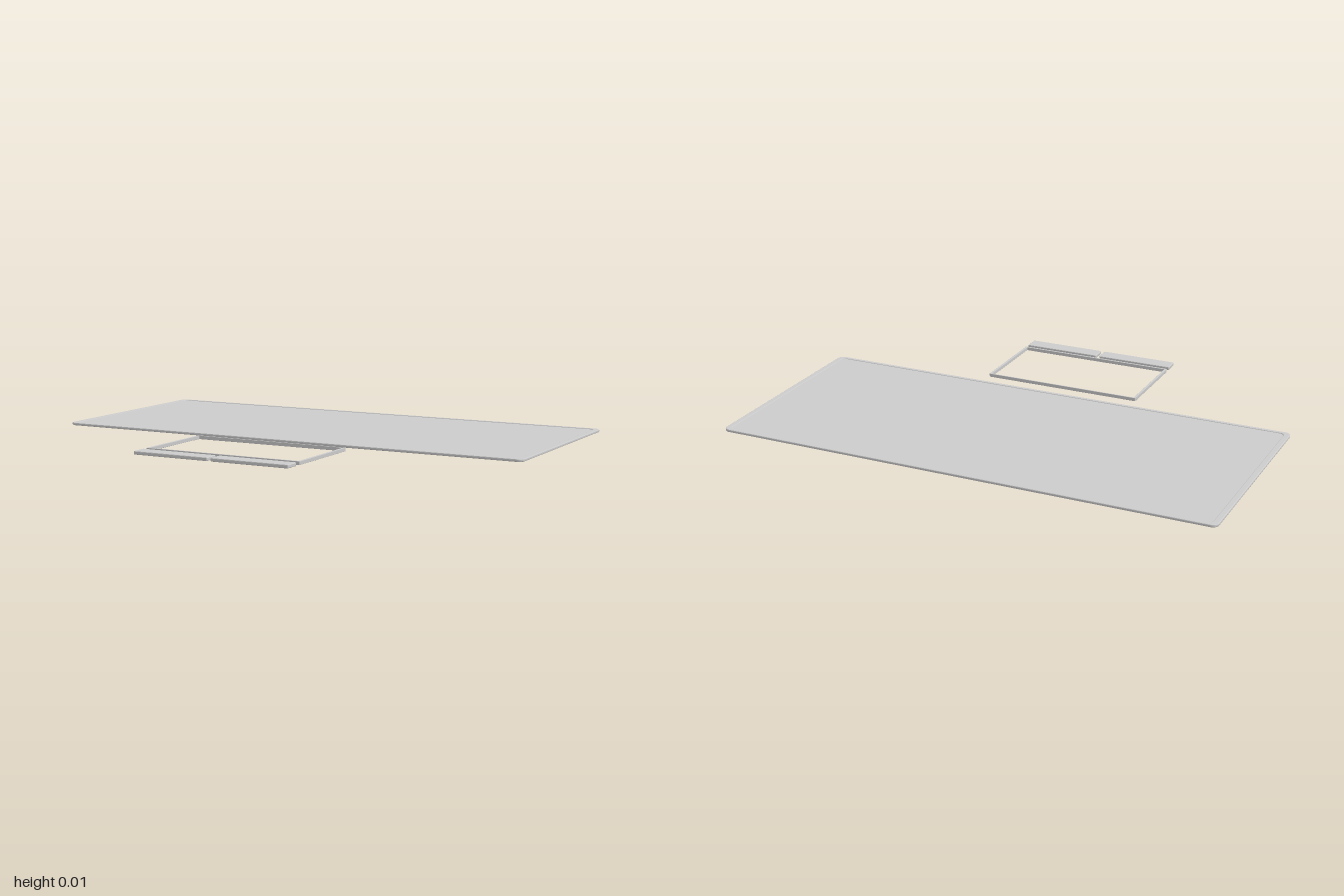
import * as THREE from 'three';

const BASE = 0.12; // height of the shared underside
const material = new THREE.MeshStandardMaterial({ color: 0xcccccc });

// Rounded rectangle in plan; shape y becomes -z once laid flat
function roundedRect(Target, x0, x1, z0, z1, r) {
  const p = new Target();
  const a = -z1, b = -z0;
  p.moveTo(x0 + r, a);
  p.lineTo(x1 - r, a);
  p.absarc(x1 - r, a + r, r, -Math.PI / 2, 0, false);
  p.lineTo(x1, b - r);
  p.absarc(x1 - r, b - r, r, 0, Math.PI / 2, false);
  p.lineTo(x0 + r, b);
  p.absarc(x0 + r, b - r, r, Math.PI / 2, Math.PI, false);
  p.lineTo(x0, a + r);
  p.absarc(x0 + r, a + r, r, Math.PI, Math.PI * 1.5, false);
  return p;
}

// Flat slab extruded upward from y0 to y1, with softened edges
function slab(name, shape, y0, y1, bevel) {
  const geometry = new THREE.ExtrudeGeometry(shape, {
    depth: y1 - y0 - 2 * bevel,
    bevelEnabled: bevel > 0,
    bevelThickness: bevel,
    bevelSize: bevel,
    bevelOffset: -bevel,
    bevelSegments: 2,
    curveSegments: 6,
  });
  geometry.rotateX(-Math.PI / 2);
  geometry.translate(0, y0 + bevel, 0);
  const mesh = new THREE.Mesh(geometry, material);
  mesh.name = name;
  return mesh;
}

export function createModel() {
  const model = new THREE.Group();
  model.name = 'panelSet';

  // Large panel: a thin plate inside a slightly raised rim
  const panel = new THREE.Group();
  panel.name = 'largePanel';
  const rim = roundedRect(THREE.Shape, -1, 1, -0.697, 0.178, 0.025);
  rim.holes.push(roundedRect(THREE.Path, -0.976, 0.976, -0.683, 0.162, 0.02));
  panel.add(slab('panelRim', rim, BASE, 0.131, 0.003));
  const plate = roundedRect(THREE.Shape, -0.98, 0.98, -0.687, 0.166, 0.02);
  panel.add(slab('panelPlate', plate, BASE + 0.001, 0.128, 0));
  model.add(panel);

  // Small open frame in front of the panel
  const frame = roundedRect(THREE.Shape, -0.328, 0.325, 0.251, 0.612, 0.003);
  frame.holes.push(roundedRect(THREE.Path, -0.319, 0.316, 0.256, 0.604, 0.002));
  model.add(slab('smallFrame', frame, BASE, 0.134, 0.001));

  // Pair of narrow bars beside the frame
  for (const [name, x0, x1] of [['rightBar', -0.328, -0.01], ['leftBar', 0.005, 0.325]]) {
    const bar = roundedRect(THREE.Shape, x0, x1, 0.634, 0.697, 0.004);
    model.add(slab(name, bar, BASE, 0.134, 0.003));
  }

  return model;
}
